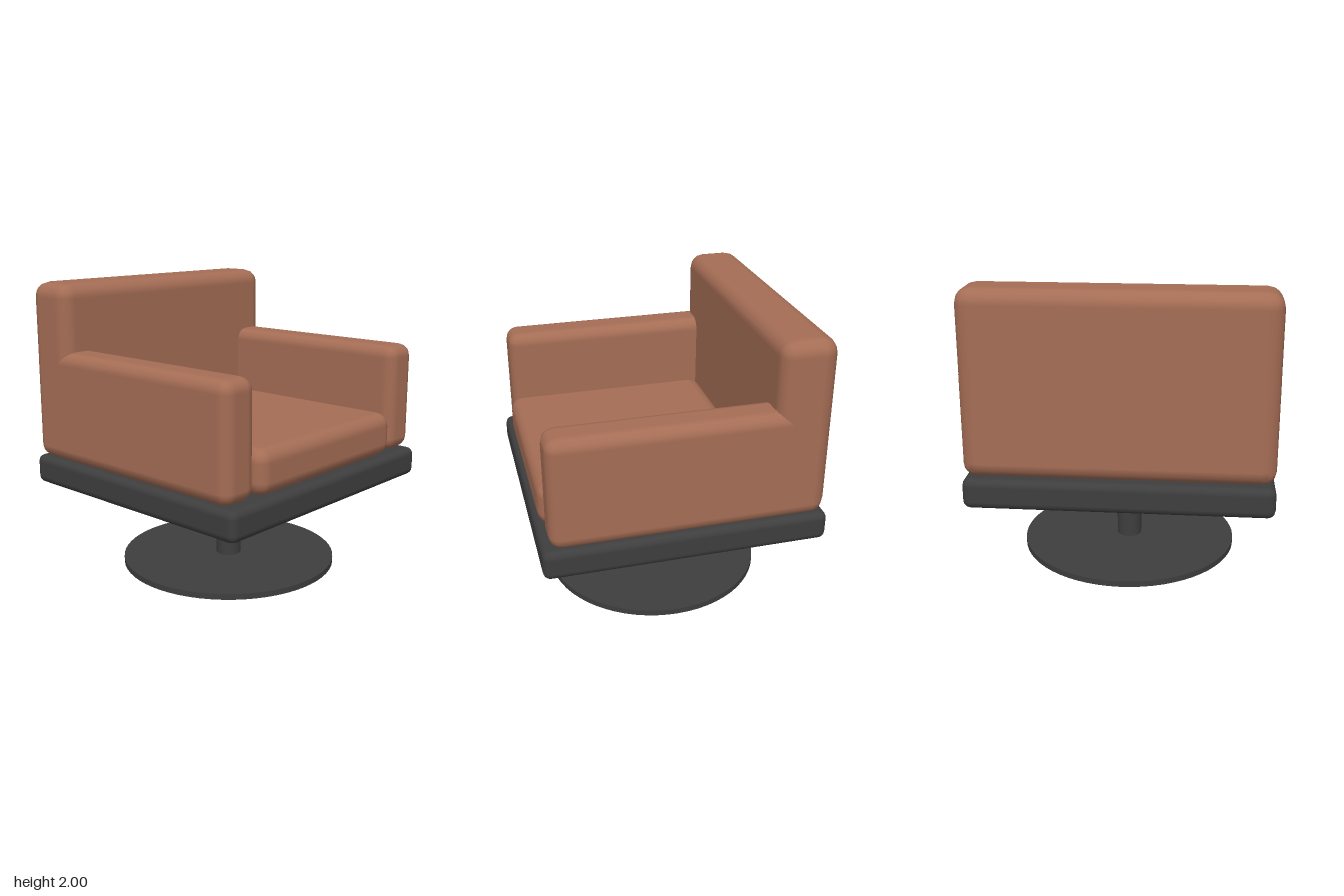
import * as THREE from 'three';
import { RoundedBoxGeometry } from 'three/addons/geometries/RoundedBoxGeometry.js';

export function createModel() {
  const chair = new THREE.Group();
  chair.name = 'swivelArmchair';
  const leather = new THREE.MeshStandardMaterial({ color: 0xa56d55 });
  leather.name = 'brown leather';
  const metal = new THREE.MeshStandardMaterial({ color: 0x3e3e3e });
  metal.name = 'dark metal';

  const add = (name, geometry, material, x, y, z) => {
    const mesh = new THREE.Mesh(geometry, material);
    mesh.name = name;
    mesh.position.set(x, y, z);
    chair.add(mesh);
  };
  // Rounded block given by its lower and upper corners
  const block = (name, material, [x0, y0, z0], [x1, y1, z1], radius) =>
    add(name, new RoundedBoxGeometry(x1 - x0, y1 - y0, z1 - z0, 2, radius), material,
      (x0 + x1) / 2, (y0 + y1) / 2, (z0 + z1) / 2);

  // Swivel pedestal
  add('floorDisc', new THREE.CylinderGeometry(0.755, 0.755, 0.04, 64), metal, 0, 0.02, 0);
  add('column', new THREE.CylinderGeometry(0.087, 0.087, 0.53, 32), metal, 0, 0.295, 0);
  add('mountPlate', new THREE.BoxGeometry(0.75, 0.06, 0.75), metal, 0, 0.58, 0);
  block('platform', metal, [-0.98, 0.6, -0.93], [0.98, 0.8, 0.93], 0.05);

  // Upholstery
  block('seatCushion', leather, [-0.7, 0.8, -0.55], [0.7, 1.1, 0.905], 0.09);
  block('backrest', leather, [-0.98, 0.8, -0.91], [0.98, 2, -0.545], 0.1);
  block('rightArm', leather, [-0.98, 0.8, -0.9], [-0.71, 1.55, 0.88], 0.085);
  block('leftArm', leather, [0.71, 0.8, -0.9], [0.98, 1.55, 0.88], 0.085);

  return chair;
}
